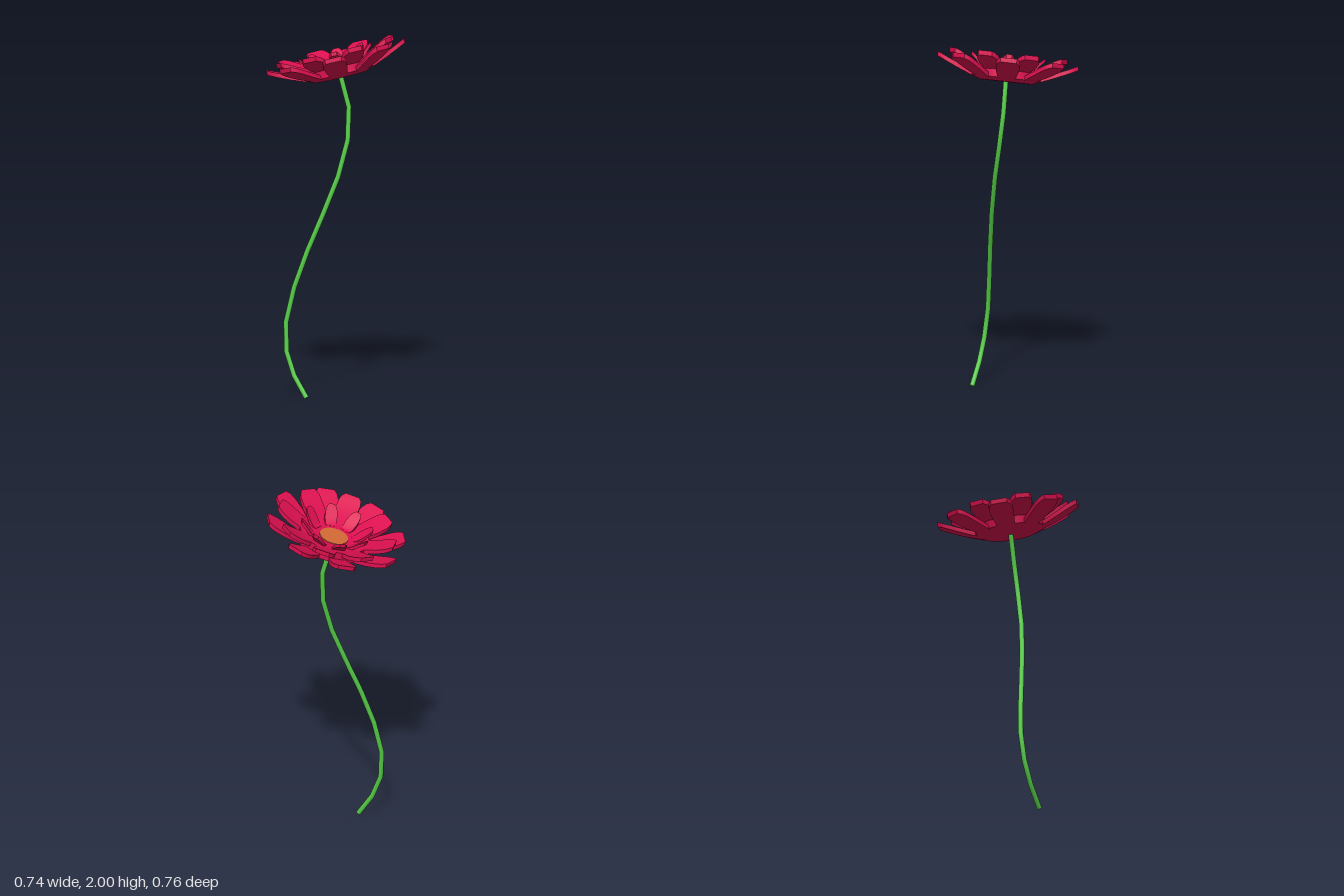
import * as THREE from 'three';
import { toCreasedNormals } from 'three/addons/utils/BufferGeometryUtils.js';

const material = (color) => new THREE.MeshStandardMaterial({ color });
const crimson = material(0xdd1050);
const orange = material(0xd46a36);
const green = material(0x55cc48);

const CREASE = 0.5;
const rad = THREE.MathUtils.degToRad;

function addMesh(parent, name, geometry, mat) {
  const mesh = new THREE.Mesh(geometry, mat);
  mesh.name = name;
  parent.add(mesh);
  return mesh;
}

// Petal lofted along +x from stations [radius, half width, top height]
function petalGeometry(stations, thickness) {
  const positions = [];
  const index = [];
  for (const [r, w, h] of stations) {
    positions.push(r, h, w, r, h - thickness, w, r, h - thickness, -w, r, h, -w);
  }
  const last = (stations.length - 1) * 4;
  for (let a = 0; a < last; a += 4) {
    for (let j = 0; j < 4; j++) {
      const k = (j + 1) % 4;
      index.push(a + j, a + k, a + 4 + k, a + j, a + 4 + k, a + 4 + j);
    }
  }
  index.push(last, last + 1, last + 2, last, last + 2, last + 3);
  index.push(0, 2, 1, 0, 3, 2);
  const geometry = new THREE.BufferGeometry();
  geometry.setAttribute('position', new THREE.Float32BufferAttribute(positions, 3));
  geometry.setIndex(index);
  return toCreasedNormals(geometry, CREASE);
}

// Three rings of eight petals each
const petalRings = [
  {
    name: 'outerPetal', start: 24.5, thickness: 0.025,
    stations: [[0.13, 0.035, 0.027], [0.2, 0.05, 0.046], [0.27, 0.061, 0.074],
      [0.335, 0.066, 0.103], [0.365, 0.06, 0.117], [0.388, 0.045, 0.127]],
  },
  {
    name: 'middlePetal', start: 1.5, thickness: 0.026,
    stations: [[0.11, 0.04, 0.064], [0.19, 0.057, 0.087], [0.25, 0.063, 0.112],
      [0.295, 0.062, 0.135], [0.318, 0.054, 0.147], [0.335, 0.04, 0.155]],
  },
  {
    name: 'innerPetal', start: 25, thickness: 0.022,
    stations: [[0.105, 0.026, 0.068], [0.122, 0.031, 0.074], [0.15, 0.035, 0.1],
      [0.175, 0.033, 0.125], [0.192, 0.026, 0.141], [0.203, 0.015, 0.15]],
  },
];

function createHead() {
  const head = new THREE.Group();
  head.name = 'flowerHead';

  // Flared cup that carries the petals
  const cup = [[0, 0], [0.146, 0], [0.195, 0.02], [0.195, 0.086], [0.12, 0.067], [0, 0.067]]
    .map(([x, y]) => new THREE.Vector2(x, y));
  addMesh(head, 'cup', toCreasedNormals(new THREE.LatheGeometry(cup, 40), 0.3), crimson);

  for (const ring of petalRings) {
    const group = new THREE.Group();
    group.name = ring.name + 'Ring';
    const geometry = petalGeometry(ring.stations, ring.thickness);
    for (let i = 0; i < 8; i++) {
      addMesh(group, ring.name, geometry, crimson).rotation.y = rad(ring.start + i * 45);
    }
    head.add(group);
  }

  // Flat round heart of the flower
  const heart = new THREE.CylinderGeometry(0.08, 0.08, 0.02, 40);
  addMesh(head, 'heart', heart, orange).position.y = 0.061;

  head.position.set(0.025, 1.765, 0);
  head.rotation.z = rad(15);
  return head;
}

function createStem() {
  const stem = new THREE.Group();
  stem.name = 'stem';
  const points = [
    [-0.065, 0.01, 0.245], [-0.145, 0.13, 0.238], [-0.195, 0.26, 0.23], [-0.205, 0.42, 0.213],
    [-0.168, 0.61, 0.188], [-0.105, 0.81, 0.153], [-0.032, 1.01, 0.11], [0.037, 1.22, 0.06],
    [0.074, 1.42, 0.015], [0.07, 1.6, -0.007], [0.022, 1.775, 0],
  ].map((p) => new THREE.Vector3(...p));
  const path = new THREE.CatmullRomCurve3(points);
  // Sample at the control points so the stem bends in straight pieces
  path.getPointAt = path.getPoint;
  path.getTangentAt = path.getTangent;
  addMesh(stem, 'stalk', new THREE.TubeGeometry(path, points.length - 1, 0.014, 10), green);

  // Cut end at the bottom
  const cut = addMesh(stem, 'cutEnd', new THREE.CircleGeometry(0.014, 10), green);
  cut.position.copy(points[0]);
  cut.lookAt(points[0].clone().sub(path.getTangent(0)));
  return stem;
}

export function createModel() {
  const flower = new THREE.Group();
  flower.name = 'flower';
  flower.add(createStem(), createHead());
  return flower;
}
